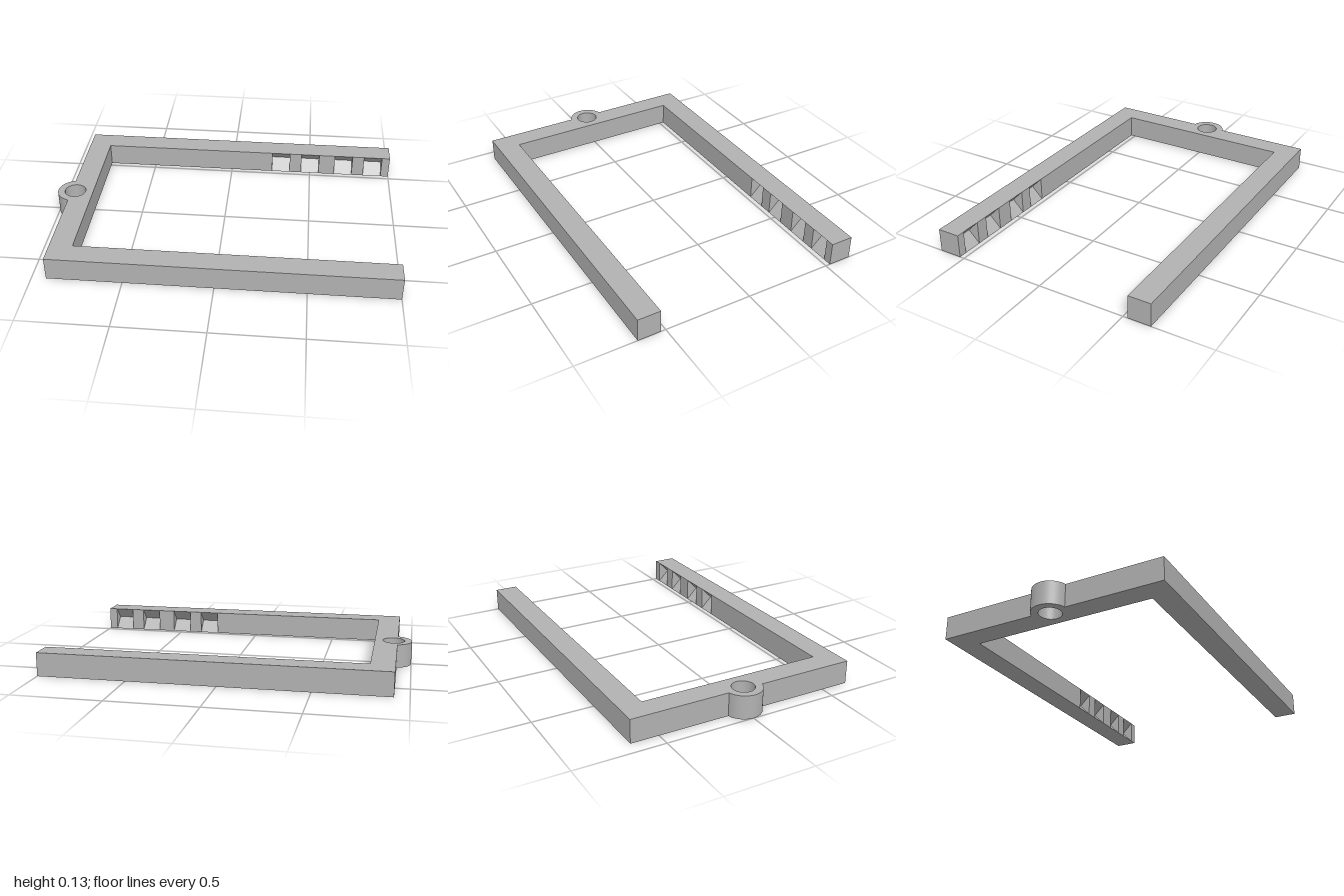
import * as THREE from 'three';

const H = 0.133;                       // frame height
const OUT = 0.657, IN = 0.527;         // outer and inner z of the arms
const BACK = -0.92, BACK_IN = -0.79;   // cross bar, outer and inner x
const NOTCH_DEPTH = 0.066, NOTCH_WIDTH = 0.112;
const NOTCHES = [0.258, 0.444, 0.655, 0.84]; // start x of each notch

export function createModel() {
  const group = new THREE.Group();
  const grey = new THREE.MeshStandardMaterial({ color: 0xb2b2b2 });
  grey.name = 'plain grey';

  const add = (geometry, name) => {
    const mesh = new THREE.Mesh(geometry, grey);
    mesh.name = name;
    group.add(mesh);
  };

  // U-shaped frame with the round lug and its through hole
  const cx = -0.897, r = 0.103;
  const t = Math.acos((BACK - cx) / r);
  const x0 = NOTCHES[0];
  const outline = new THREE.Shape();
  outline.moveTo(BACK, -OUT);
  outline.lineTo(x0, -OUT);
  outline.lineTo(x0, -IN);
  outline.lineTo(BACK_IN, -IN);
  outline.lineTo(BACK_IN, IN);
  outline.lineTo(x0, IN);
  outline.lineTo(x0, OUT);
  outline.lineTo(BACK, OUT);
  outline.absarc(cx, 0, r, t, 2 * Math.PI - t, false);
  outline.closePath();
  const hole = new THREE.Path();
  hole.absarc(cx, 0, 0.062, 0, Math.PI * 2, true);
  outline.holes.push(hole);
  const frame = new THREE.ExtrudeGeometry(outline, { depth: H, bevelEnabled: false, curveSegments: 32 });
  frame.rotateX(-Math.PI / 2);
  add(frame, 'frame');

  // Arm section run along x, with an optional V-groove on the inner face
  const armPiece = (side, from, to, notched) => {
    const section = new THREE.Shape();
    section.moveTo(-side * OUT, 0);
    section.lineTo(-side * IN, 0);
    if (notched) section.lineTo(-side * (IN + NOTCH_DEPTH), H / 2);
    section.lineTo(-side * IN, H);
    section.lineTo(-side * OUT, H);
    section.closePath();
    const geometry = new THREE.ExtrudeGeometry(section, { depth: to - from, bevelEnabled: false });
    geometry.rotateY(Math.PI / 2);
    geometry.translate(from, 0, 0);
    add(geometry, (side > 0 ? 'front' : 'back') + (notched ? 'ArmNotch' : 'ArmBlock'));
  };

  // Alternate notches and solid blocks to the tip of each arm
  for (const side of [1, -1]) {
    NOTCHES.forEach((x, i) => {
      const end = x + NOTCH_WIDTH;
      armPiece(side, x, end, true);
      armPiece(side, end, NOTCHES[i + 1] ?? 1, false);
    });
  }
  return group;
}
